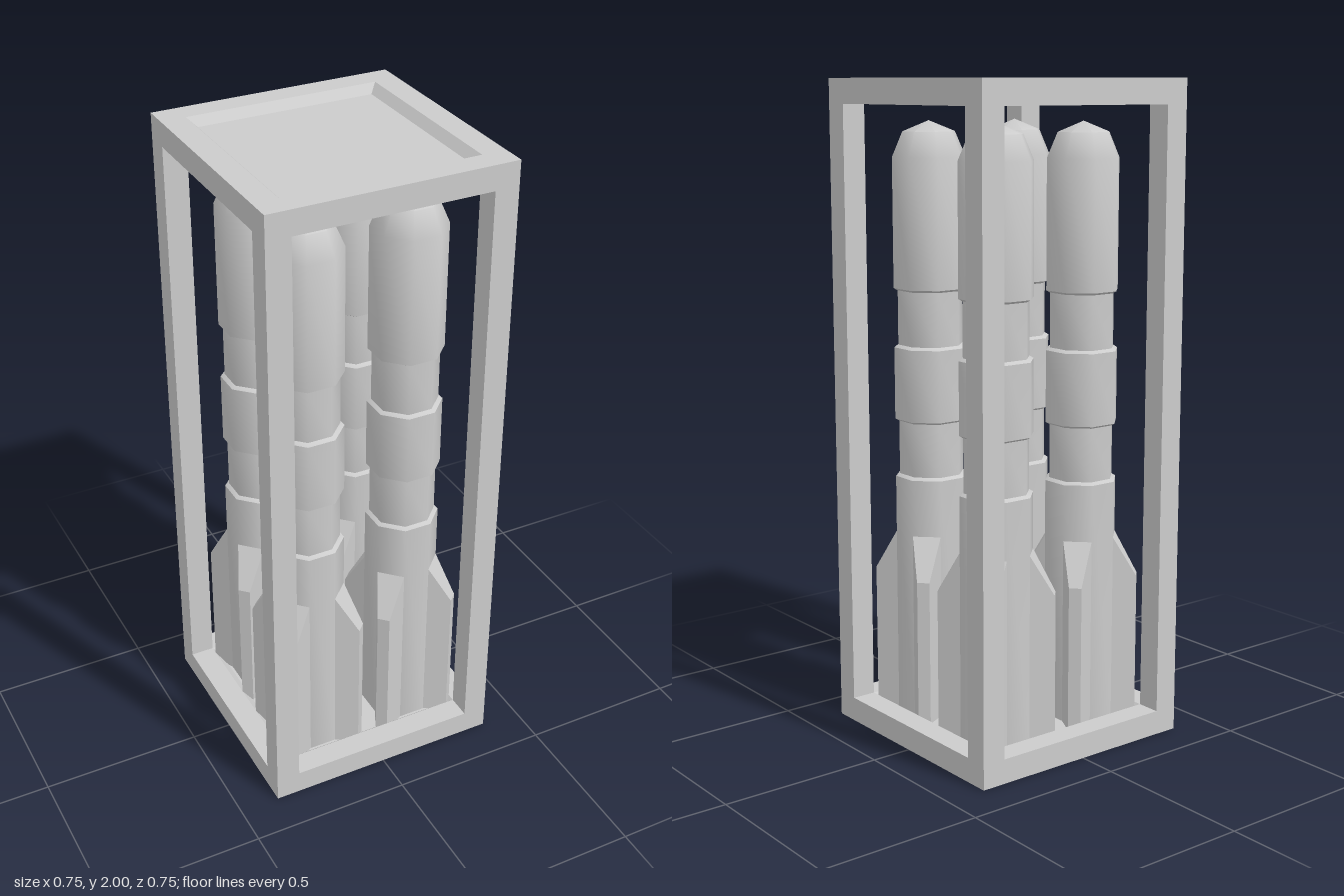
import * as THREE from 'three';
import { toCreasedNormals } from 'three/addons/utils/BufferGeometryUtils.js';

const material = new THREE.MeshStandardMaterial({ color: 0xcccccc });

function part(name, geometry, parent) {
  const mesh = new THREE.Mesh(geometry, material);
  mesh.name = name;
  parent.add(mesh);
  return mesh;
}

// Regular prism turned from [apothem, y] pairs, with a flat side facing +z
function turned(profile, sides, creaseAngle) {
  const grow = 1 / Math.cos(Math.PI / sides);
  const points = profile.map(([r, y]) => new THREE.Vector2(r * grow, y));
  return toCreasedNormals(new THREE.LatheGeometry(points, sides, Math.PI / sides), creaseAngle);
}

// Fin along +x: wide and tall at the root, narrow and lower at the tip
function finGeometry() {
  const geometry = new THREE.BoxGeometry(1, 1, 1);
  const p = geometry.attributes.position;
  for (let i = 0; i < p.count; i++) {
    const tip = p.getX(i) > 0;
    const top = tip ? 0.5 : 0.625;
    p.setXYZ(i, tip ? 0.175 : 0.104, p.getY(i) > 0 ? top : 0.05,
      Math.sign(p.getZ(i)) * (tip ? 0.019 : 0.043));
  }
  geometry.computeVertexNormals();
  return geometry;
}

export function createModel() {
  const model = new THREE.Group();
  model.name = 'rocketRack';

  // Base and cap: square slabs with a bevelled recess in the upper face
  const slab = turned([
    [0, 0], [0.375, 0], [0.375, 0.075], [0.3, 0.075], [0.275, 0.05], [0, 0.05],
  ], 4, 0.3);
  part('base', slab, model);
  part('cap', slab, model).position.y = 1.925;

  // Octagonal body with two narrow necks and a blunt nose
  const body = turned([
    [0, 0.05], [0.104, 0.05], [0.104, 0.8], [0.0925, 0.808],
    [0.0925, 0.973], [0.104, 0.98], [0.104, 1.2], [0.0925, 1.208],
    [0.0925, 1.373], [0.104, 1.38], [0.104, 1.77], [0.074, 1.845], [0, 1.877],
  ], 8, 0.9);
  const fin = finGeometry();
  const post = new THREE.BoxGeometry(0.075, 1.85, 0.075);

  // One post and one rocket in each corner
  for (const x of [-1, 1]) {
    for (const z of [-1, 1]) {
      part('cornerPost', post, model).position.set(x * 0.3375, 1, z * 0.3375);

      const rocket = new THREE.Group();
      rocket.name = 'rocket';
      rocket.position.set(x * 0.163, 0, z * 0.163);
      part('body', body, rocket);
      for (let i = 0; i < 4; i++) {
        part('fin', fin, rocket).rotation.y = Math.PI / 4 + i * Math.PI / 2;
      }
      model.add(rocket);
    }
  }
  return model;
}
